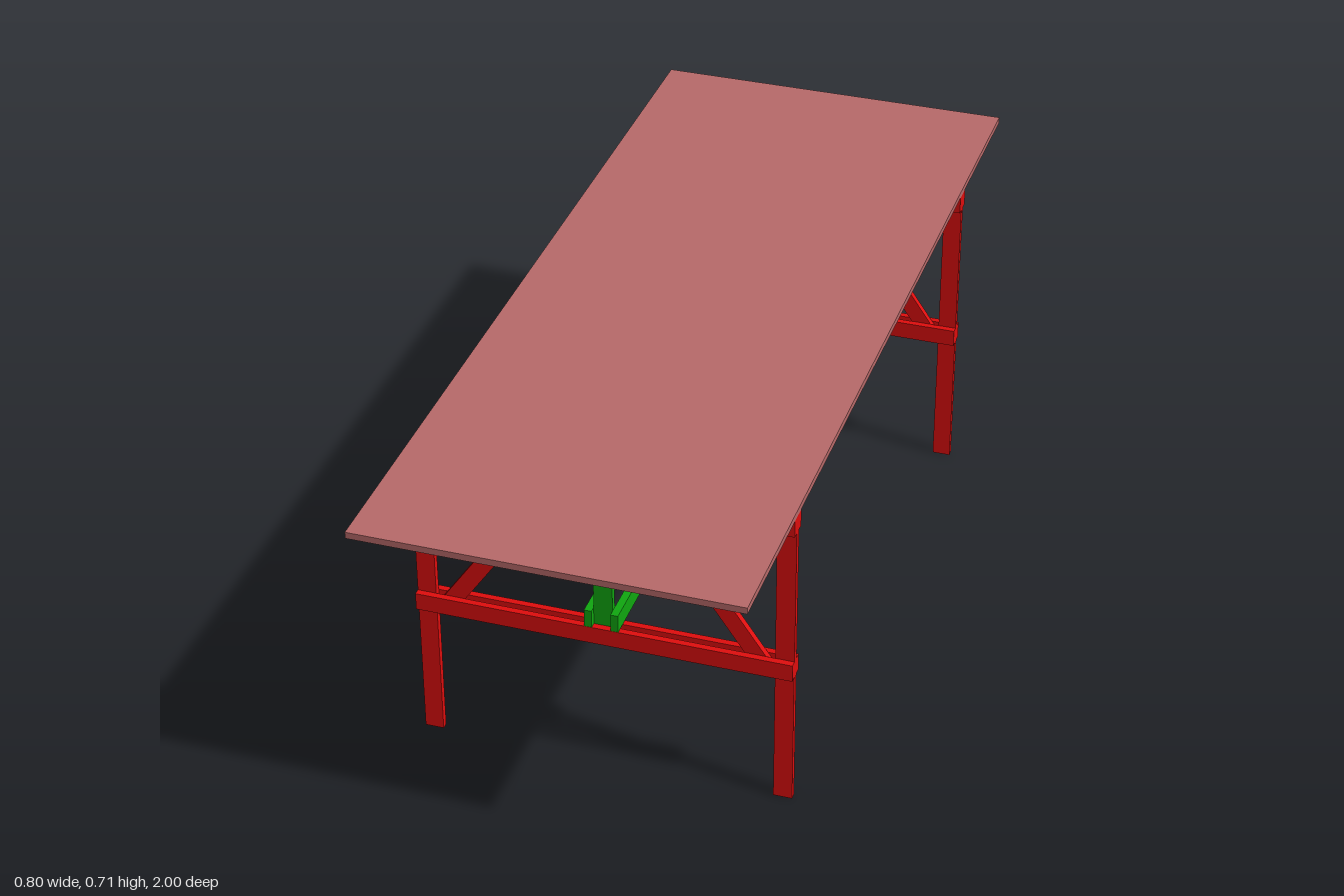
import * as THREE from 'three';

const T = 0.0143; // board thickness
const W = 0.04; // board width

const red = new THREE.MeshStandardMaterial({ color: 0xe00d0d });
const green = new THREE.MeshStandardMaterial({ color: 0x10a810 });
const topRed = new THREE.MeshStandardMaterial({ color: 0xb86a6a });

// Box given by its min/max extents on each axis
function board(name, material, [x0, x1], [y0, y1], [z0, z1]) {
  const mesh = new THREE.Mesh(new THREE.BoxGeometry(x1 - x0, y1 - y0, z1 - z0), material);
  mesh.position.set((x0 + x1) / 2, (y0 + y1) / 2, (z0 + z1) / 2);
  mesh.name = name;
  return mesh;
}

// Flat board cut from a polygon in the XY plane, centred on its thickness
function cutBoard(name, material, points, depth) {
  const shape = new THREE.Shape(points.map(([x, y]) => new THREE.Vector2(x, y)));
  const geometry = new THREE.ExtrudeGeometry(shape, { depth, bevelEnabled: false });
  geometry.translate(0, 0, -depth / 2);
  const mesh = new THREE.Mesh(geometry, material);
  mesh.name = name;
  return mesh;
}

// Trestle: two legs and two braces sandwiched between paired cross rails
function trestle(name, z) {
  const group = new THREE.Group();
  group.name = name;
  const middle = [-T / 2, T / 2];
  for (const s of [-1, 1]) {
    const side = s > 0 ? 'left' : 'right';
    group.add(board(side + 'Leg', red, s > 0 ? [0.36, 0.4] : [-0.4, -0.36], [0, 0.7], middle));

    // Brace edges follow one slope and run into the gaps between the rails
    const outer = (y) => 0.341 - (y - 0.35) * 0.69;
    const points = [
      [s * outer(0.325), 0.325],
      [s * (outer(0.325) - 0.0445), 0.325],
      [s * (outer(0.7) - 0.0445), 0.7],
      [s * outer(0.7), 0.7],
    ];
    group.add(cutBoard(side + 'Brace', red, points, T));

    const zr = s > 0 ? [T / 2, T * 1.5] : [-T * 1.5, -T / 2];
    const face = s > 0 ? 'Front' : 'Back';
    group.add(board('upperRail' + face, red, [-0.4, 0.4], [0.661, 0.7], zr));
    group.add(board('lowerRail' + face, red, [-0.4, 0.4], [0.311, 0.35], zr));
  }
  group.add(board('centrePost', green, [-W / 2, W / 2], [0.311, 0.7], middle));
  group.position.z = z;
  return group;
}

// Lengthwise truss: paired rails with posts and one diagonal between them
function truss() {
  const group = new THREE.Group();
  group.name = 'truss';
  for (const s of [-1, 1]) {
    const x = s > 0 ? [W / 2, 0.036] : [-0.036, -W / 2];
    const side = s > 0 ? 'Left' : 'Right';
    group.add(board('upperStretcher' + side, green, x, [0.607, 0.647], [-0.684, 0.686]));
    group.add(board('lowerStretcher' + side, green, x, [0.35, 0.39], [-0.684, 0.686]));
  }
  for (const z of [-0.325, 0, 0.325]) {
    group.add(board('trussPost', green, [-W / 2, W / 2], [0.35, 0.647], [z - T / 2, z + T / 2]));
  }
  const from = new THREE.Vector3(0, 0.357, -0.643);
  const to = new THREE.Vector3(0, 0.64, -0.34);
  const diagonal = new THREE.Mesh(new THREE.BoxGeometry(W, T, from.distanceTo(to)), green);
  diagonal.position.copy(from).lerp(to, 0.5);
  diagonal.rotation.x = -Math.atan2(to.y - from.y, to.z - from.z);
  diagonal.name = 'diagonal';
  group.add(diagonal);
  return group;
}

export function createModel() {
  const model = new THREE.Group();
  model.name = 'trestleTable';
  model.add(board('tableTop', topRed, [-0.4, 0.4], [0.7, 0.7 + T], [-1, 1]));
  model.add(trestle('frontTrestle', 0.665));
  model.add(trestle('backTrestle', -0.651));
  model.add(truss());
  return model;
}
